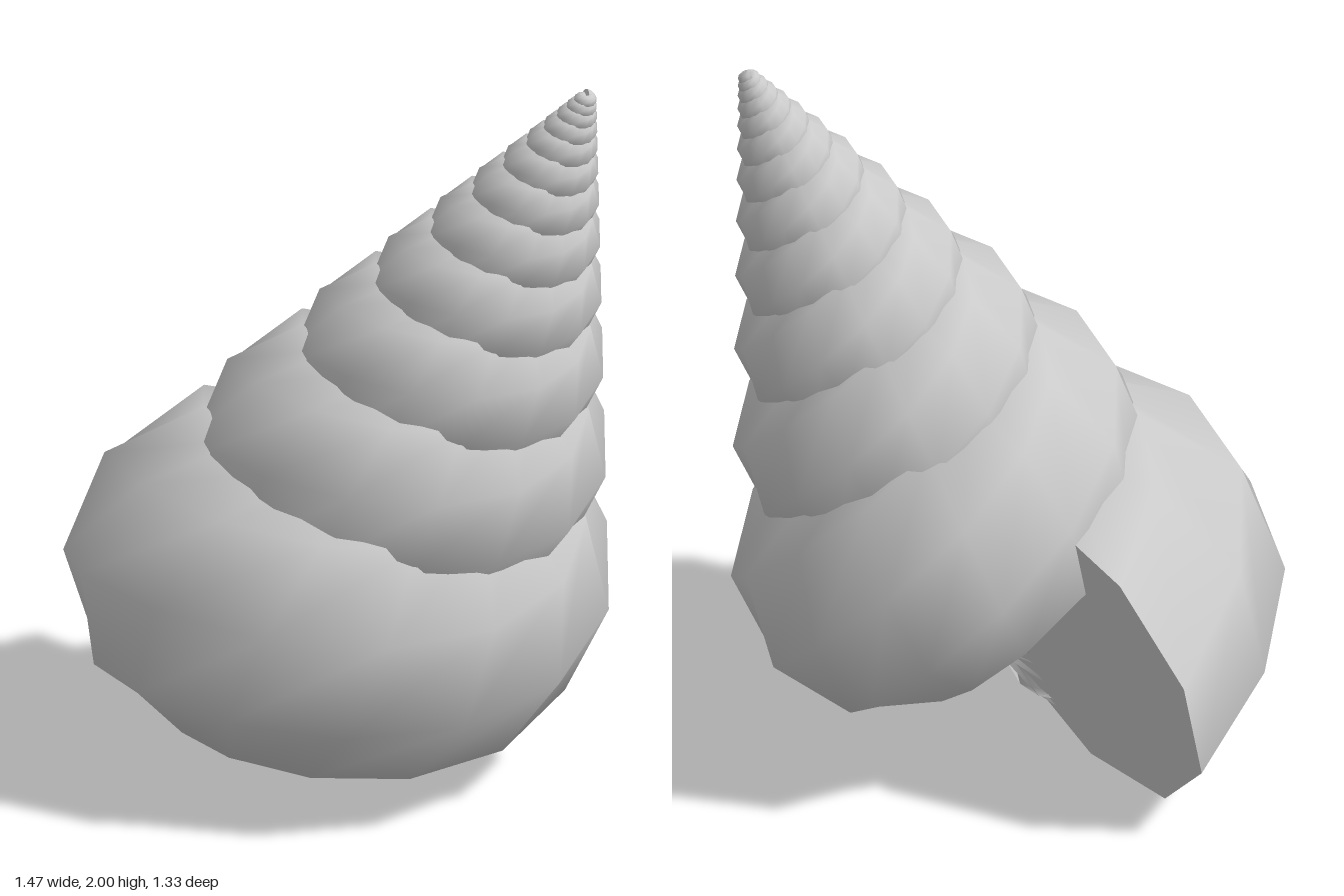
import * as THREE from 'three';

const SIDES = 9;            // corners of the tube section
const STEPS = 14;           // rings per whorl
const WHORLS = 12;
const GROWTH = 4 / 3;       // size ratio from whorl to whorl
const END = THREE.MathUtils.degToRad(221.5); // angle of the mouth
const LEAN = THREE.MathUtils.degToRad(24.2); // lean of the coiling axis
const TWIST = 40 / 90;      // turn of the section along the coil

const apex = new THREE.Vector3(0.73, 2.03, -0.045);
const axis = new THREE.Vector3(Math.sin(LEAN), Math.cos(LEAN), 0);
const across = new THREE.Vector3(Math.cos(LEAN), -Math.sin(LEAN), 0);
const depth = new THREE.Vector3(0, 0, 1);

// One ring of the coil; the last entry is its centre
function ring(theta) {
  const s = Math.pow(GROWTH, (theta - Math.PI) / (2 * Math.PI));
  const out = across.clone().multiplyScalar(Math.cos(theta)).addScaledVector(depth, Math.sin(theta));
  const centre = apex.clone().addScaledVector(axis, -1.8 * s).addScaledVector(out, 0.325 * s);
  const phase = THREE.MathUtils.degToRad(27) + (theta - Math.PI) * TWIST;
  const points = [];
  for (let j = 0; j < SIDES; j++) {
    const p = phase + (j / SIDES) * Math.PI * 2;
    points.push(centre.clone()
      .addScaledVector(out, 0.448 * s * Math.cos(p))
      .addScaledVector(axis, -0.468 * s * Math.sin(p)));
  }
  points.push(centre);
  return points;
}

function meshOf(name, points, index, material) {
  const geometry = new THREE.BufferGeometry().setFromPoints(points);
  geometry.setIndex(index);
  geometry.computeVertexNormals();
  const mesh = new THREE.Mesh(geometry, material);
  mesh.name = name;
  return mesh;
}

// Flat lid over one end ring
function lid(name, points, facesForward, material) {
  const index = [];
  for (let j = 0; j < SIDES; j++) {
    const k = (j + 1) % SIDES;
    index.push(SIDES, ...(facesForward ? [k, j] : [j, k]));
  }
  return meshOf(name, points, index, material);
}

export function createModel() {
  const material = new THREE.MeshStandardMaterial({ color: 0xcccccc });
  const shell = new THREE.Group();
  shell.name = 'spiralShell';

  // Coiled tube, growing from tip to mouth
  const count = STEPS * WHORLS;
  const rings = [];
  for (let i = 0; i <= count; i++) rings.push(ring(END - (count - i) * 2 * Math.PI / STEPS));
  const points = rings.flatMap((r) => r.slice(0, SIDES));
  const index = [];
  for (let i = 0; i < count; i++) {
    for (let j = 0; j < SIDES; j++) {
      const a = i * SIDES + j, b = i * SIDES + (j + 1) % SIDES;
      index.push(a, a + SIDES, b + SIDES, a, b + SIDES, b);
    }
  }
  shell.add(meshOf('whorls', points, index, material));
  shell.add(lid('tip', rings[0], false, material));
  shell.add(lid('mouth', rings[count], true, material));

  // Stand on the ground, centred
  const box = new THREE.Box3().setFromObject(shell, true);
  const mid = box.getCenter(new THREE.Vector3());
  shell.position.set(-mid.x, -box.min.y, -mid.z);

  const model = new THREE.Group();
  model.add(shell);
  return model;
}
